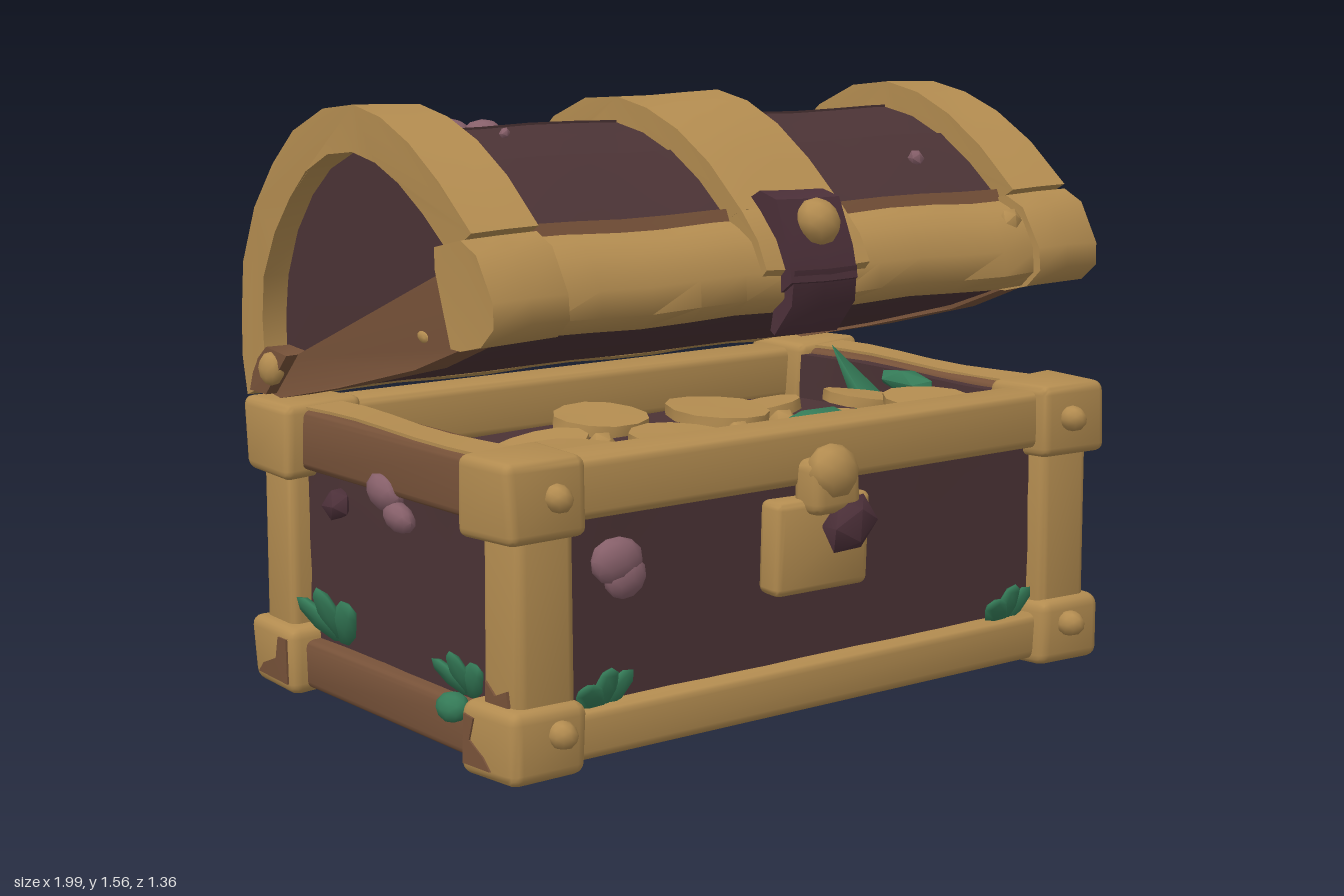
import * as THREE from 'three';
import { toCreasedNormals } from 'three/addons/utils/BufferGeometryUtils.js';
import { RoundedBoxGeometry } from 'three/addons/geometries/RoundedBoxGeometry.js';

const mat = (name, color) => {
  const m = new THREE.MeshStandardMaterial({ color });
  m.name = name;
  return m;
};

export function createModel() {
  const root = new THREE.Group();
  root.name = 'treasureChest';
  const gold = mat('worn gold', 0xb38c50);
  const wood = mat('dark wood', 0x4b3335);
  const brown = mat('brown trim', 0x775239);
  const iron = mat('dark iron', 0x4c3039);
  const pink = mat('pink fungus', 0x87606a);
  const green = mat('green leaf', 0x347a57);

  const base = new THREE.Group();
  base.name = 'base';
  const lid = new THREE.Group();
  lid.name = 'lid';
  root.add(base, lid);

  // Small position-based dents give every part a hand-hewn surface
  function hewn(geo, amp = 0.007) {
    const p = geo.attributes.position;
    for (let i = 0; i < p.count; i++) {
      const x = p.getX(i), y = p.getY(i), z = p.getZ(i);
      p.setXYZ(i,
        x + amp * Math.sin(13 * y + 9 * z + 1),
        y + amp * Math.sin(11 * x + 8 * z),
        z + amp * Math.sin(12 * x + 10 * y + 2));
    }
    return toCreasedNormals(geo, 0.9);
  }
  function add(parent, name, geo, material) {
    const mesh = new THREE.Mesh(geo, material);
    mesh.name = name;
    parent.add(mesh);
    return mesh;
  }
  // Box given by its extents
  function block(parent, name, m, x0, x1, y0, y1, z0, z1, round = 0, amp = 0.005) {
    const w = x1 - x0, h = y1 - y0, d = z1 - z0, n = (v) => Math.max(1, Math.ceil(v / 0.16));
    const geo = round ? new RoundedBoxGeometry(w, h, d, 2, round)
      : new THREE.BoxGeometry(w, h, d, n(w), n(h), n(d));
    geo.translate((x0 + x1) / 2, (y0 + y1) / 2, (z0 + z1) / 2);
    return add(parent, name, hewn(geo, amp), m);
  }
  // Side-view outline (z, y) drawn out along x
  function prism(parent, name, m, pts, x0, x1, amp = 0.004) {
    const shape = new THREE.Shape(pts.map(([z, y]) => new THREE.Vector2(z, y)));
    const geo = new THREE.ExtrudeGeometry(shape, {
      depth: x1 - x0, bevelEnabled: false, steps: Math.ceil((x1 - x0) / 0.15),
    });
    geo.rotateY(-Math.PI / 2).translate(x1, 0, 0);
    return add(parent, name, hewn(geo, amp), m);
  }
  // Lump for studs and fungi
  function lump(parent, name, m, pos, size, detail = 1) {
    const geo = new THREE.IcosahedronGeometry(1, detail);
    geo.scale(...size).translate(...pos);
    return add(parent, name, hewn(geo, 0.008), m);
  }
  // Prism on both sides of the chest
  const pair = (parent, name, m, pts, x0, x1) => {
    prism(parent, name, m, pts, x0, x1);
    prism(parent, name, m, pts, -x1, -x0);
  };
  // Extents mirrored to the side given by s
  const ext = (a, b, s) => (s > 0 ? [a, b] : [-b, -a]);

  // ---- Base: boards, rails and a hollow top ----
  block(base, 'bodyBoards', wood, -0.885, 0.885, 0.03, 0.61, -0.545, 0.535, 0, 0.004);
  block(base, 'bottomPanel', wood, -0.86, 0.86, 0.004, 0.04, -0.53, 0.51, 0, 0.002);
  for (const s of [-1, 1]) {
    const rz = s > 0 ? [0.44, 0.585] : [-0.6, -0.45];
    block(base, 'bottomRail', gold, -0.8, 0.8, 0.016, 0.145, ...rz, 0.025);
    block(base, 'topRail', gold, -0.8, 0.8, 0.6, 0.755, ...rz, 0.025);
    block(base, 'sideBottomRail', brown, ...ext(0.79, 0.925, s), 0.016, 0.145, -0.45, 0.44, 0.02);
    block(base, 'sideTopRail', brown, ...ext(0.79, 0.925, s), 0.6, 0.755, -0.45, 0.44, 0.02);
    block(base, 'sideRailCap', gold, ...ext(0.81, 0.915, s), 0.755, 0.763, -0.42, 0.41);
    block(base, 'innerWall', wood, ...ext(0.76, 0.8, s), 0.58, 0.74, -0.45, 0.44);
  }
  // Corner posts, caps and studs
  for (const sx of [-1, 1]) for (const sz of [-1, 1]) {
    const z = ext(0.395, 0.62, sz);
    block(base, 'cornerPost', gold, ...ext(0.77, 0.935, sx), 0.1, 0.65, ...ext(0.44, 0.592, sz), 0.025);
    block(base, 'lowerCorner', gold, ...ext(0.755, 0.97, sx), 0, 0.18, ...z, 0.03);
    block(base, 'upperCorner', gold, ...ext(0.75, 0.975, sx), 0.575, 0.772, ...z, 0.025);
    for (const y of [0.11, 0.675]) {
      lump(base, 'cornerStud', gold, [sx * 0.84, y, sz * 0.63], [0.036, 0.036, 0.04]);
    }
  }
  // Patches where the gold has worn off the corners
  pair(base, 'wornPatch', brown, [[0.42, 0.03], [0.42, 0.15], [0.46, 0.145], [0.445, 0.09], [0.5, 0.06], [0.53, 0.03]], 0.967, 0.975);
  pair(base, 'wornPatch', brown, [[-0.42, 0.03], [-0.42, 0.15], [-0.46, 0.15], [-0.475, 0.09], [-0.55, 0.06], [-0.58, 0.03]], 0.967, 0.975);
  pair(base, 'wornPatch', brown, [[0.46, 0.17], [0.46, 0.23], [0.5, 0.2], [0.55, 0.22], [0.56, 0.17]], 0.933, 0.941);

  // ---- Treasure ----
  const coins = [[-0.5, 0.05, 0.13], [-0.2, 0.24, 0.13], [0.05, 0.1, 0.14], [0.34, 0.26, 0.14], [0.58, 0.1, 0.12],
    [-0.56, 0.3, 0.13], [0.3, -0.05, 0.12], [-0.2, -0.1, 0.13], [0.6, 0.32, 0.12]];
  coins.forEach(([x, z, r], i) => {
    const coin = add(base, 'coin', hewn(new THREE.CylinderGeometry(r, r, 0.03, 12)), gold);
    coin.position.set(x, 0.67 + 0.02 * (i % 3), z);
    coin.rotation.set(0.12 * Math.sin(i * 2), i, 0.12 * Math.cos(i * 3));
  });
  for (const [x, z] of [[0.2, 0.2], [-0.05, 0.3], [-0.38, 0.18]]) {
    lump(base, 'nugget', gold, [x, 0.69, z], [0.04, 0.035, 0.04], 0);
  }
  lump(base, 'greenGem', green, [0.17, 0.725, 0.36], [0.1, 0.03, 0.05], 0);
  lump(base, 'greenGem', green, [0.69, 0.73, 0.15], [0.045, 0.035, 0.11], 0);
  const shard = add(base, 'greenShard', new THREE.ConeGeometry(0.045, 0.2, 4), green);
  shard.position.set(0.68, 0.73, -0.09);
  shard.rotation.set(-0.8, 0.6, 0.2);

  // ---- Base lock ----
  block(base, 'lockPlate', gold, -0.165, 0.135, 0.335, 0.575, 0.53, 0.61, 0.02);
  block(base, 'lockNeck', gold, -0.085, 0.07, 0.54, 0.68, 0.55, 0.65, 0.03);
  lump(base, 'lockKnob', gold, [-0.01, 0.65, 0.62], [0.078, 0.072, 0.055]);
  lump(base, 'lockBolt', iron, [0.04, 0.51, 0.63], [0.08, 0.08, 0.05], 0);

  // ---- Lid ----
  const arc = [[0.46, 1.29], [0.33, 1.4], [0.2, 1.48], [0.07, 1.53], [-0.06, 1.552], [-0.2, 1.538], [-0.34, 1.48],
    [-0.46, 1.39], [-0.56, 1.27], [-0.63, 1.12], [-0.652, 0.98], [-0.645, 0.87], [-0.615, 0.77]];
  const arch = (off) => arc.map(([z, y]) => {
    const dz = -0.07 - z, dy = 1.0 - y, l = Math.hypot(dz, dy);
    return [z + dz / l * off, y + dy / l * off];
  });
  const shell = (a, b, i = 0, j = 13) => [...arch(a).slice(i, j), ...arch(b).slice(i, j).reverse()];

  // Lid boards, each sitting a little higher or lower
  [0, 2, 4, 6, 8, 10].forEach((i, k) => {
    prism(lid, 'lidBoard', wood, shell(0.064 + 0.006 * (k % 2), 0.1, i, i + 3), -0.88, 0.88, 0.003);
  });
  // Underside board closing the lid
  prism(lid, 'lidUnderside', wood, [[0.43, 1.035], [0.15, 0.94], [-0.2, 0.845], [-0.5, 0.78], [-0.58, 0.765],
    [-0.58, 0.8], [-0.5, 0.82], [-0.2, 0.88], [0.15, 0.975], [0.43, 1.07]], -0.85, 0.85, 0.002);
  pair(lid, 'lidEndPanel', wood, [...arch(0.07), [-0.5, 0.8], [0.36, 1.06]], 0.85, 0.89);
  pair(lid, 'lidEndBand', gold, shell(0, 0.115), 0.772, 0.96);
  prism(lid, 'lidCentreBand', gold, shell(0.002, 0.08), -0.168, 0.165);
  prism(lid, 'lidCentreBandEnd', gold, [[0.46, 1.288], [0.525, 1.22], [0.56, 1.15], [0.53, 1.12], [0.4, 1.2], [0.36, 1.32]], -0.168, 0.165);
  pair(lid, 'lidSideRail', brown, [[0.4, 1.23], [0.4, 1.02], [0.15, 0.93], [-0.2, 0.835], [-0.5, 0.775], [-0.6, 0.79], [-0.45, 0.885]], 0.84, 0.93);
  for (const s of [-1, 1]) {
    lump(lid, 'railChip', gold, [s * 0.925, 1.02, 0.19], [0.01, 0.016, 0.028]);
    lump(lid, 'hingeStud', gold, [s * 0.965, 0.86, -0.49], [0.03, 0.045, 0.045]);
  }
  prism(lid, 'lidFrontRail', gold, [[0.5, 1.035], [0.545, 1.075], [0.542, 1.14], [0.5, 1.215], [0.45, 1.243],
    [0.4, 1.262], [0.37, 1.2], [0.4, 1.04], [0.43, 1.03]], -0.8, 0.8);
  prism(lid, 'lidFrontTrim', brown, [[0.415, 1.25], [0.398, 1.288], [0.36, 1.28], [0.37, 1.2]], -0.77, 0.77, 0.003);
  pair(lid, 'lidFrontCorner', gold, [[0.52, 1.035], [0.568, 1.08], [0.565, 1.14], [0.505, 1.245], [0.44, 1.275],
    [0.325, 1.25], [0.325, 1.2], [0.4, 1.02], [0.44, 1.018]], 0.765, 0.98);
  prism(lid, 'lidBackRail', gold, [[-0.605, 0.752], [-0.615, 0.84], [-0.608, 0.89], [-0.55, 0.91], [-0.55, 0.77]], -0.8, 0.8);
  prism(lid, 'lidBackTrim', brown, [[-0.604, 0.88], [-0.598, 0.935], [-0.56, 0.94], [-0.56, 0.87]], -0.78, 0.78);
  pair(lid, 'lidHingeCorner', brown, [[-0.41, 0.9], [-0.52, 0.91], [-0.58, 0.86], [-0.6, 0.785], [-0.52, 0.785]], 0.86, 0.962);
  // Loose scraps of gold plating
  prism(lid, 'goldScrap', gold, shell(0.05, 0.075, 5, 8), -0.775, -0.715);
  prism(lid, 'goldScrap', gold, shell(0.05, 0.075, 5, 7), -0.72, -0.685);
  lump(lid, 'goldChip', gold, [0.73, 1.21, 0.49], [0.04, 0.04, 0.03], 0);

  // Latch hanging from the lid
  prism(lid, 'latchPlate', iron, [[0.41, 1.31], [0.46, 1.335], [0.525, 1.32], [0.57, 1.2], [0.585, 1.12], [0.53, 1.08], [0.45, 1.2]], -0.11, 0.1);
  prism(lid, 'latchTongue', iron, [[0.583, 1.15], [0.575, 1.06], [0.515, 0.98], [0.5, 0.99], [0.515, 1.1]], -0.1, 0.1);
  lump(lid, 'latchKnob', gold, [0, 1.27, 0.555], [0.06, 0.06, 0.058]);

  // ---- Fungi ----
  lump(base, 'fungus', pink, [-0.62, 0.495, 0.555], [0.068, 0.06, 0.04]);
  lump(base, 'fungus', pink, [-0.595, 0.455, 0.56], [0.055, 0.055, 0.035]);
  for (const s of [-1, 1]) {
    lump(base, 'fungus', pink, [s * 0.92, 0.595, -0.015], [0.04, 0.05, 0.07]);
    lump(base, 'fungus', pink, [s * 0.92, 0.545, 0.045], [0.035, 0.04, 0.06]);
    lump(base, 'fungus', iron, [s * 0.89, 0.52, -0.28], [0.04, 0.045, 0.05], 0);
  }
  lump(lid, 'fungus', pink, [-0.56, 1.46, -0.24], [0.06, 0.045, 0.065]);
  lump(lid, 'fungus', pink, [-0.5, 1.465, -0.18], [0.045, 0.035, 0.06]);
  lump(lid, 'fungus', pink, [0.58, 1.365, 0.28], [0.027, 0.024, 0.02], 0);
  lump(lid, 'fungus', pink, [-0.59, 1.475, 0.04], [0.015, 0.015, 0.015], 0);
  lump(lid, 'fungus', pink, [0.45, 0.84, -0.61], [0.07, 0.045, 0.035]);
  lump(lid, 'fungus', pink, [-0.53, 0.96, -0.59], [0.04, 0.03, 0.035]);

  // ---- Leaf tufts: fans of broad flat leaves leaning off the walls ----
  function tuft(x, y, z, turn, size) {
    const g = new THREE.Group();
    g.name = 'leafTuft';
    for (let i = -1; i <= 1; i++) {
      const geo = new THREE.SphereGeometry(1, 6, 4);
      geo.scale(0.045, 0.08, 0.02).translate(0, 0.065, 0);
      const leaf = add(g, 'leaf', geo, green);
      leaf.rotation.set(0.45 + 0.15 * i, 0, i * 0.75);
    }
    g.position.set(x, y, z);
    g.rotation.y = turn;
    g.scale.setScalar(size);
    base.add(g);
  }
  for (const s of [-1, 1]) {
    const turn = s * Math.PI / 2;
    tuft(s * 0.67, 0.135, 0.545, 0, 0.85);
    tuft(s * 0.91, 0.17, 0.345, turn, 0.85);
    lump(base, 'leafBud', green, [s * 0.935, 0.14, 0.325], [0.035, 0.038, 0.05]);
    tuft(s * 0.895, 0.17, -0.28, turn, 1.1);
  }
  return root;
}
